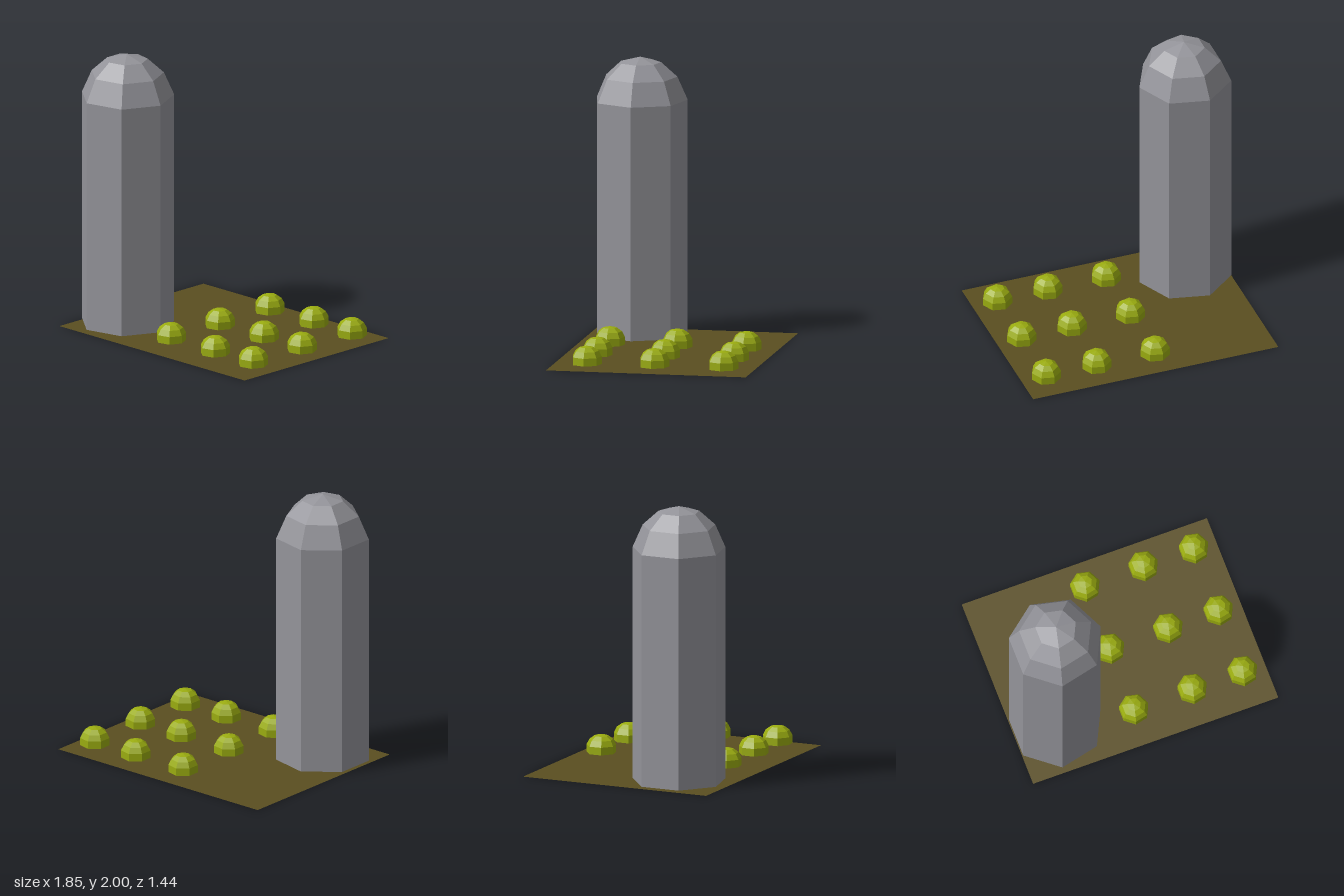
import * as THREE from 'three';

const SIDES = 7;

// Faceted body of revolution with one corner pointing to +x
function facetedLathe(profile) {
  const points = profile.map(([r, y]) => new THREE.Vector2(r, y));
  return new THREE.LatheGeometry(points, SIDES, Math.PI / 2);
}

function flatMaterial(color) {
  return new THREE.MeshStandardMaterial({ color, flatShading: true, side: THREE.DoubleSide });
}

export function createModel() {
  const model = new THREE.Group();
  model.name = 'siloField';

  // Thin soil sheet
  const field = new THREE.Mesh(new THREE.PlaneGeometry(1.85, 1.44), flatMaterial(0x5a4e20));
  field.name = 'field';
  field.rotation.x = -Math.PI / 2;
  model.add(field);

  // Silo: straight wall with a stepped dome
  const silo = new THREE.Mesh(
    facetedLathe([[0.336, 0.015], [0.336, 1.69], [0.263, 1.855], [0.148, 1.96], [0, 2]]),
    flatMaterial(0x94949a)
  );
  silo.name = 'silo';
  silo.position.set(-0.615, 0, 0.355);
  model.add(silo);

  // Crop plants: three rows of three small domes
  const crops = new THREE.Group();
  crops.name = 'crops';
  const cropGeometry = facetedLathe([[0.107, 0.025], [0.107, 0.08], [0.086, 0.12], [0.05, 0.147], [0, 0.157]]);
  const cropMaterial = flatMaterial(0x9aac10);
  for (const z of [-0.523, -0.025, 0.462]) {
    for (const x of [-0.067, 0.373, 0.753]) {
      const crop = new THREE.Mesh(cropGeometry, cropMaterial);
      crop.name = 'crop';
      crop.position.set(x, 0, z);
      crops.add(crop);
    }
  }
  model.add(crops);

  return model;
}
